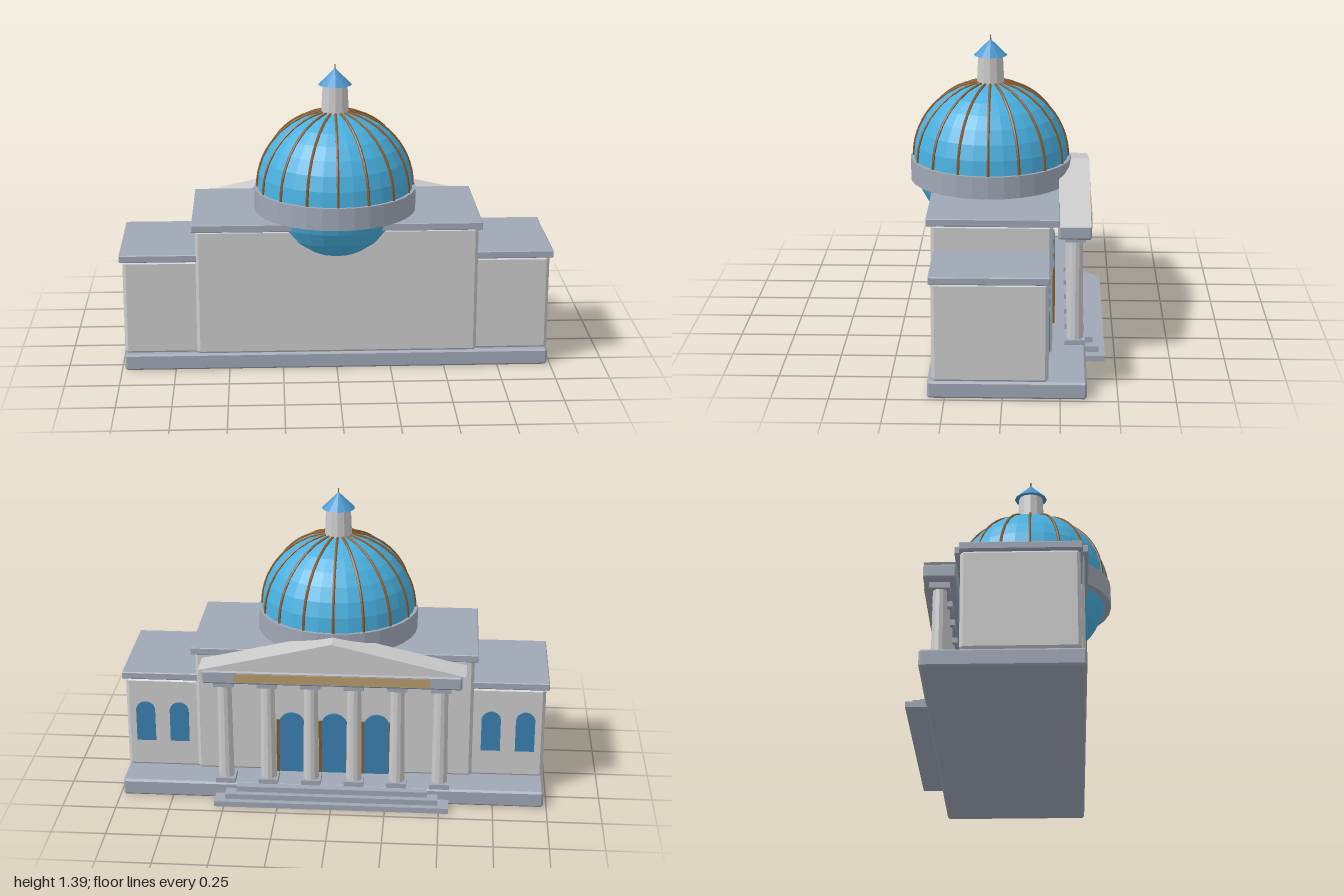
import * as THREE from 'three';
import { ConvexGeometry } from 'three/addons/geometries/ConvexGeometry.js';

const mat = (color) => new THREE.MeshStandardMaterial({ color, flatShading: true });
const stone = mat(0xcccccc), slate = mat(0xa0a8b6), domeBlue = mat(0x48b0e0);
const glass = mat(0x3a80b0), capBlue = mat(0x4a98d0), bronze = mat(0x8a5a2b), tan = mat(0xb89c6c);

// Box with chamfered edges, given by its min/max on each axis
function chamferGeometry([x0, x1], [y0, y1], [z0, z1], c) {
  const h = [(x1 - x0) / 2, (y1 - y0) / 2, (z1 - z0) / 2];
  const points = [];
  for (const sx of [-1, 1]) for (const sy of [-1, 1]) for (const sz of [-1, 1]) {
    for (let full = 0; full < 3; full++) {
      const d = h.map((v, i) => (i === full ? v : v - c));
      points.push(new THREE.Vector3(sx * d[0], sy * d[1], sz * d[2]));
    }
  }
  return new ConvexGeometry(points).translate((x0 + x1) / 2, (y0 + y1) / 2, (z0 + z1) / 2);
}

// Panel with a round-arched head
function archGeometry(width, height, depth) {
  const r = width / 2;
  const shape = new THREE.Shape();
  shape.moveTo(-r, 0);
  shape.lineTo(r, 0);
  shape.lineTo(r, height - r);
  shape.absarc(0, height - r, r, 0, Math.PI, false);
  shape.lineTo(-r, 0);
  return new THREE.ExtrudeGeometry(shape, { depth, bevelEnabled: false, curveSegments: 10 });
}

export function createModel() {
  const model = new THREE.Group();
  model.name = 'domedHall';

  function add(name, geometry, material, x = 0, y = 0, z = 0, parent = model) {
    const mesh = new THREE.Mesh(geometry, material);
    mesh.name = name;
    mesh.position.set(x, y, z);
    parent.add(mesh);
    return mesh;
  }
  const block = (name, xs, ys, zs, material, c) => add(name, chamferGeometry(xs, ys, zs, c), material);
  const box = (name, w, h, d, material, x, y, z) => add(name, new THREE.BoxGeometry(w, h, d), material, x, y, z);

  // Base and central hall
  block('base', [-0.985, 0.985], [0, 0.078], [-0.365, 0.325], slate, 0.009);
  block('mainHall', [-0.65, 0.65], [0.074, 0.68], [-0.215, 0.325], stone, 0.015);
  block('mainRoof', [-0.665, 0.665], [0.675, 0.71], [-0.245, 0.345], slate, 0.003);

  // Steps, widest at the bottom
  for (let i = 0; i < 3; i++) {
    const z = -0.455 + i * 0.028;
    const d = z + 0.36;
    box('step', 1.09 - i * 0.1, 0.026, -d, slate, 0, 0.013 + i * 0.026, z - d / 2);
  }

  // Side wings with arched windows
  const windowGeometry = archGeometry(0.09, 0.2, 0.015);
  for (const s of [-1, 1]) {
    const span = (a, b) => (s > 0 ? [a, b] : [-b, -a]);
    block('wing', span(0.6, 0.985), [0.074, 0.53], [-0.2, 0.305], stone, 0.015);
    block('wingRoof', span(0.62, 1), [0.525, 0.56], [-0.205, 0.315], slate, 0.004);
    for (const x of [0.735, 0.895]) add('wingWindow', windowGeometry, glass, s * x, 0.21, -0.205);
  }

  // Arched doors with jambs
  const doorGeometry = archGeometry(0.12, 0.305, 0.015);
  for (const x of [-0.2, 0, 0.2]) {
    add('door', doorGeometry, glass, x, 0.078, -0.224);
    for (const s of [-1, 1]) box('doorJamb', 0.014, 0.267, 0.015, bronze, x + s * 0.065, 0.2115, -0.2185);
  }

  // Portico columns
  const shaft = new THREE.CylinderGeometry(0.032, 0.037, 0.475, 12);
  for (let i = 0; i < 6; i++) {
    const x = -0.5 + i * 0.2, z = -0.317;
    box('columnPlinth', 0.092, 0.024, 0.092, slate, x, 0.089, z);
    add('columnShaft', shaft, stone, x, 0.335, z);
    box('columnCapital', 0.092, 0.027, 0.092, slate, x, 0.582, z);
  }

  // Entablature and pediment
  block('entablature', [-0.595, 0.595], [0.595, 0.66], [-0.388, -0.24], slate, 0.008);
  box('friezePanel', 0.9, 0.042, 0.01, tan, 0, 0.628, -0.388);
  const gable = new THREE.Shape();
  gable.moveTo(-0.613, 0.66);
  gable.lineTo(0.613, 0.66);
  gable.lineTo(0, 0.803);
  gable.closePath();
  add('pediment', new THREE.ExtrudeGeometry(gable, { depth: 0.142, bevelEnabled: false }), stone, 0, 0, -0.384);

  // Drum, dome and ribs
  const dome = new THREE.Group();
  dome.name = 'domeAssembly';
  dome.position.z = 0.08;
  model.add(dome);
  const R = 0.362;
  add('drum', new THREE.CylinderGeometry(0.377, 0.377, 0.104, 32), slate, 0, 0.765, 0, dome);
  add('domeShell', new THREE.SphereGeometry(R, 32, 16), domeBlue, 0, 0.815, 0, dome);
  const rib = new THREE.TorusGeometry(R, 0.007, 6, 14, 1.42);
  for (let i = 0; i < 16; i++) {
    add('domeRib', rib, bronze, 0, 0.815, 0, dome).rotation.y = (i * Math.PI) / 8;
  }

  // Lantern, cap and finial
  add('lantern', new THREE.CylinderGeometry(0.057, 0.064, 0.14, 12), stone, 0, 1.235, 0, dome);
  add('lanternCap', new THREE.ConeGeometry(0.078, 0.076, 12), capBlue, 0, 1.338, 0, dome);
  add('finial', new THREE.CylinderGeometry(0.003, 0.004, 0.04, 6), bronze, 0, 1.374, 0, dome);

  return model;
}
